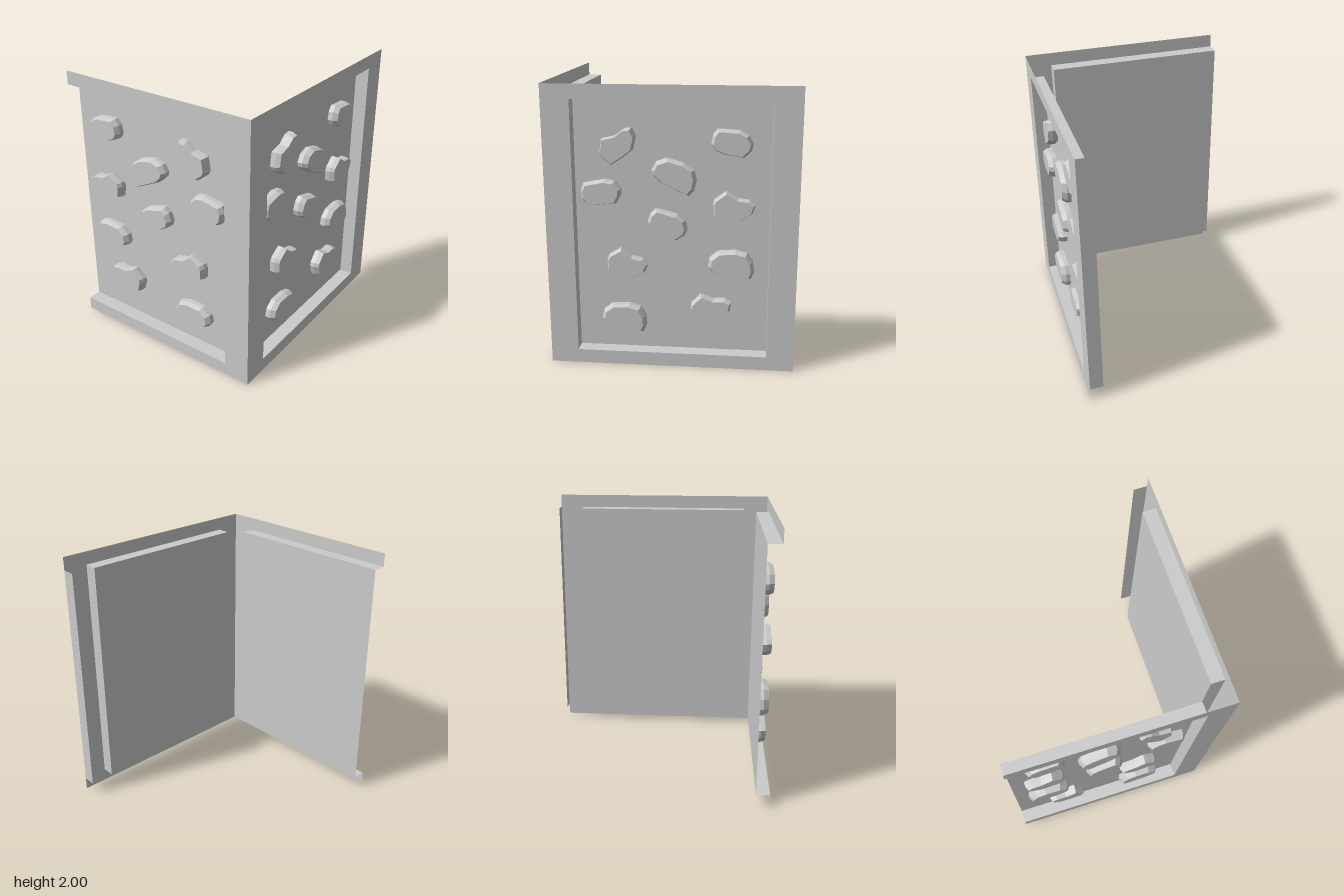
import * as THREE from 'three';

const material = new THREE.MeshStandardMaterial({ color: 0xcccccc, side: THREE.DoubleSide });

const FACE = 0.765;   // outer face of a panel
const FLOOR = 0.665;  // floor of its recess
const EDGE = 0.67;    // half width of the recess
const LOW = 0.1, HIGH = 1.9;

// Stone outlines in hundredths of a unit
const outlines = {
  long: [[-14, 0], [-13, 6], [-10, 10], [5, 9], [11, 6], [14, 0], [13, -4], [8, -9], [-5, -7], [-12, -4]],
  bean: [[-16, -2], [-15, 4], [-9, 9], [3, 10], [11, 8], [15, 2], [16, -5], [14, -10], [3, -9], [-7, -8], [-14, -5]],
  notched: [[-14, 1], [-13, 4], [-5, 10], [3, 5], [11, 4], [15, 1], [13, -5], [5, -10], [-3, -9], [-13, -7]],
};

// Outline, x, y, turn in degrees, size of the top face
const stones = [
  ['notched', -0.37, 1.59, 45, 0.9],
  ['long', 0.405, 1.605, 0, 0.86],
  ['bean', 0.02, 1.385, -20, 0.86],
  ['long', -0.485, 1.245, 15, 0.86],
  ['notched', 0.42, 1.18, 0, 0.9],
  ['long', -0.03, 1.03, -11, 0.86],
  ['notched', -0.315, 0.75, -6, 0.9],
  ['bean', 0.41, 0.76, 0, 0.86],
  ['bean', -0.34, 0.34, -3, 0.86],
  ['notched', 0.27, 0.44, 10, 0.9],
];

// Reflects front-panel space onto the side panel, keeping faces outward
const toSide = new THREE.Matrix4().set(
  0, 0, -1, -0.1,
  0, 1, 0, 0,
  -1, 0, 0, -0.1,
  0, 0, 0, 1);

function mirror(geometry) {
  const g = geometry.index ? geometry.toNonIndexed() : geometry;
  g.applyMatrix4(toSide);
  const p = g.attributes.position;
  const a = new THREE.Vector3(), b = new THREE.Vector3();
  for (let i = 0; i < p.count; i += 3) {
    a.fromBufferAttribute(p, i + 1);
    b.fromBufferAttribute(p, i + 2);
    p.setXYZ(i + 1, b.x, b.y, b.z);
    p.setXYZ(i + 2, a.x, a.y, a.z);
  }
  g.computeVertexNormals();
  return g;
}

// Flat-topped stone with a bevelled upper half
function stoneGeometry([kind, x, y, turn, top]) {
  const shape = new THREE.Shape(outlines[kind].map(([u, v]) => new THREE.Vector2(u / 100, v / 100)));
  const g = new THREE.ExtrudeGeometry(shape, { depth: 0.07, steps: 2, bevelEnabled: false });
  const p = g.attributes.position;
  for (let i = 0; i < p.count; i++) {
    if (p.getZ(i) > 0.06) p.setXY(i, p.getX(i) * top, p.getY(i) * top);
  }
  g.computeVertexNormals();
  return g.rotateZ(THREE.MathUtils.degToRad(turn)).translate(x, y, FLOOR);
}

// Upright wall facing along x, running through the recess depth
function uprightWall(x, facing) {
  return new THREE.PlaneGeometry(FACE - FLOOR, HIGH - LOW)
    .rotateY(facing * Math.PI / 2).translate(x, 1, (FACE + FLOOR) / 2);
}

function levelWall(y, facing) {
  return new THREE.PlaneGeometry(2 * EDGE, FACE - FLOOR)
    .rotateX(-facing * Math.PI / 2).translate(0, y, (FACE + FLOOR) / 2);
}

function polygon(points) {
  return new THREE.Shape(points.map(([x, y]) => new THREE.Vector2(x, y)));
}

function buildPanel(name, isSide) {
  const panel = new THREE.Group();
  panel.name = name;
  const add = (part, geometry) => {
    const mesh = new THREE.Mesh(isSide ? mirror(geometry) : geometry, material);
    mesh.name = part;
    panel.add(mesh);
  };

  // Frame round the recess; the side frame is open at its rear end
  let frame;
  if (isSide) {
    frame = polygon([[-0.865, 0], [EDGE, 0], [EDGE, LOW], [-EDGE, LOW],
      [-EDGE, HIGH], [EDGE, HIGH], [EDGE, 2], [-0.865, 2]]);
  } else {
    frame = polygon([[-0.865, 0], [0.86, 0], [0.86, 2], [-0.865, 2]]);
    frame.holes.push(polygon([[-EDGE, LOW], [-EDGE, HIGH], [EDGE, HIGH], [EDGE, LOW]]));
  }
  add('frame', new THREE.ShapeGeometry(frame).translate(0, 0, FACE));

  // Recess
  add('recessFloor', new THREE.PlaneGeometry(2 * EDGE, HIGH - LOW).translate(0, 1, FLOOR));
  add('recessBottom', levelWall(LOW, 1));
  add('recessTop', levelWall(HIGH, -1));
  add('recessCornerWall', uprightWall(-EDGE, 1));
  if (!isSide) {
    add('recessEndWall', uprightWall(EDGE, -1));
    add('returnFlange', uprightWall(0.86, 1));
  }

  for (const stone of stones) add('stone', stoneGeometry(stone));
  return panel;
}

export function createModel() {
  const model = new THREE.Group();
  model.name = 'cornerWall';
  model.add(buildPanel('frontPanel', false), buildPanel('sidePanel', true));
  return model;
}
